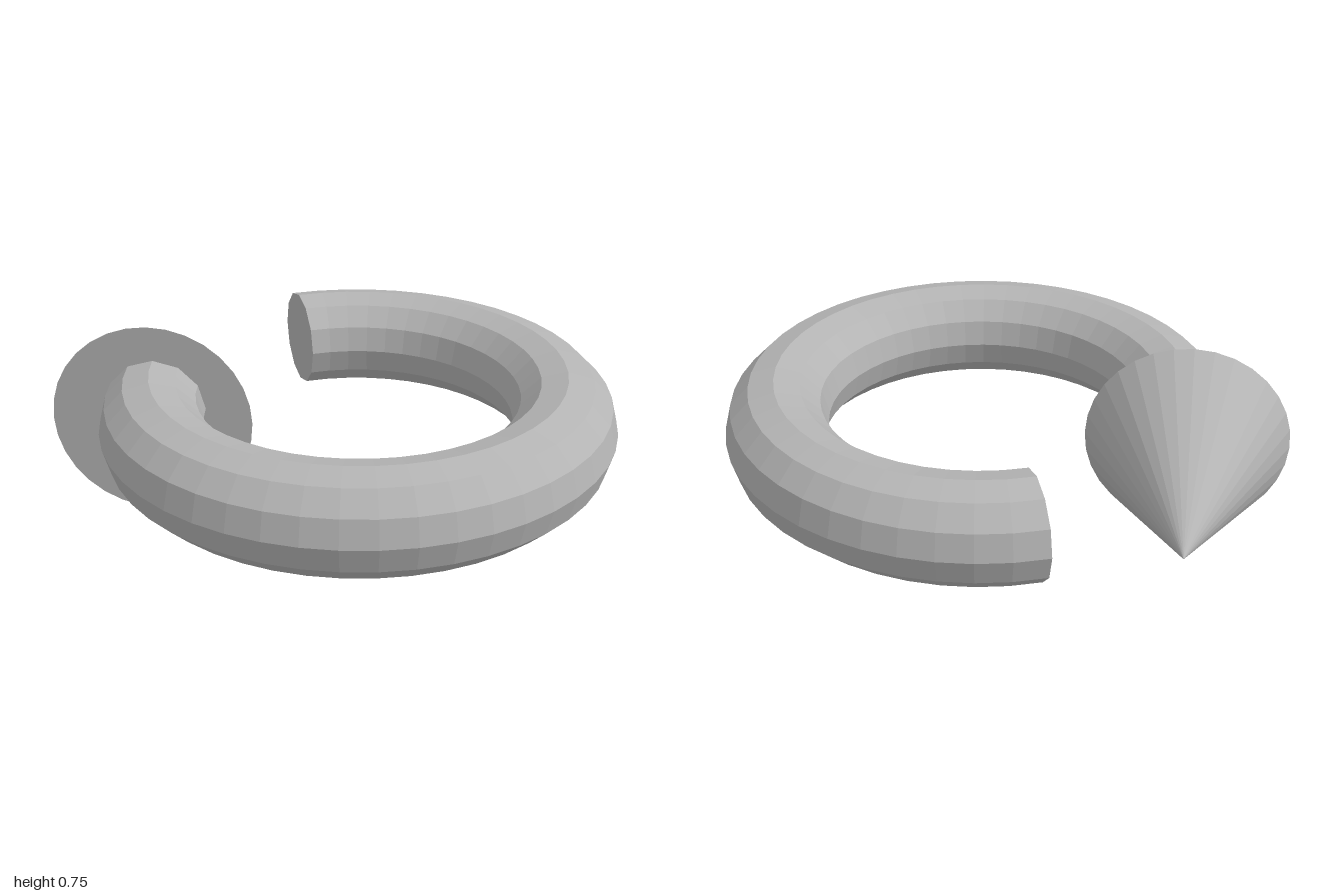
import * as THREE from 'three';

const RING_RADIUS = 0.75, TUBE_RADIUS = 0.187, TUBE_SIDES = 12;
const START = THREE.MathUtils.degToRad(-135);
const ARC = THREE.MathUtils.degToRad(292.5);

export function createModel() {
  const group = new THREE.Group();
  group.name = 'circularArrow';
  const grey = new THREE.MeshStandardMaterial({ color: 0xb4b4b4, flatShading: true });
  grey.name = 'grey';

  const add = (name, geometry, parent) => {
    const mesh = new THREE.Mesh(geometry, grey);
    mesh.name = name;
    parent.add(mesh);
    return mesh;
  };

  // Open ring forming the arrow shaft, laid flat
  const shaft = new THREE.Group();
  shaft.name = 'shaft';
  shaft.position.set(0.06, 0.43, 0);
  group.add(shaft);
  const lay = (geometry) => geometry.rotateZ(START).rotateX(-Math.PI / 2);
  add('ring', lay(new THREE.TorusGeometry(RING_RADIUS, TUBE_RADIUS, TUBE_SIDES, 39, ARC)), shaft);

  // Flat caps closing both ends of the ring
  const cap = (tilt, angle) => lay(new THREE.CircleGeometry(TUBE_RADIUS, TUBE_SIDES)
    .rotateX(tilt).translate(RING_RADIUS, 0, 0).rotateZ(angle));
  add('headEndCap', cap(Math.PI / 2, 0), shaft);
  add('tailEndCap', cap(-Math.PI / 2, ARC), shaft);

  // Cone arrowhead, pointing along the ring's tangent
  const head = new THREE.ConeGeometry(0.374, 0.742, 32)
    .rotateZ(Math.PI / 2).rotateY(-Math.PI / 4);
  add('arrowHead', head, group).position.set(-0.737, 0.374, 0.285);

  return group;
}
